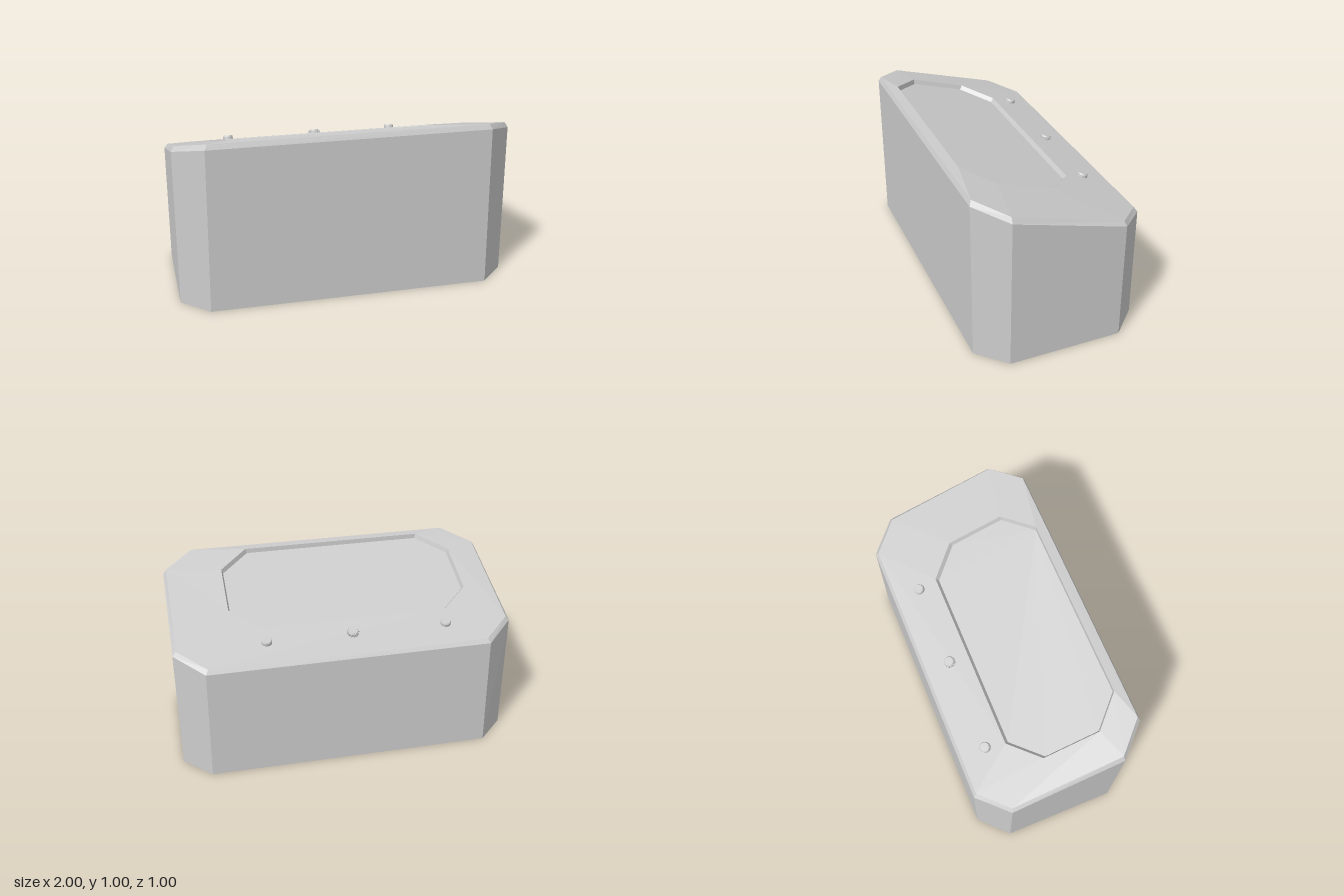
import * as THREE from 'three';

const grey = () => new THREE.MeshStandardMaterial({ color: 0xcccccc, side: THREE.DoubleSide });

// Chamfered rectangle as eight points, front edge first, height given by a rule
// b: outer bounds [x0, x1, z0, z1], c: chamfer sizes in x and z
function octagon([x0, x1, z0, z1], [cx, cz], height) {
  return [
    [x1 - cx, z1], [x1, z1 - cz], [x1, z0 + cz], [x1 - cx, z0],
    [x0 + cx, z0], [x0, z0 + cz], [x0, z1 - cz], [x0 + cx, z1],
  ].map(([x, z]) => new THREE.Vector3(x, height(z), z));
}

// Flat-faced skin through successive loops, optionally closed by a cap
function skin(name, loops, capped) {
  const pts = [];
  for (let k = 0; k < loops.length - 1; k++) {
    const a = loops[k], b = loops[k + 1];
    for (let i = 0; i < a.length; i++) {
      const j = (i + 1) % a.length;
      pts.push(a[i], a[j], b[j], a[i], b[j], b[i]);
    }
  }
  if (capped) {
    const last = loops[loops.length - 1];
    for (let i = 1; i < last.length - 1; i++) pts.push(last[0], last[i], last[i + 1]);
  }
  const geo = new THREE.BufferGeometry().setFromPoints(pts);
  geo.computeVertexNormals();
  const mesh = new THREE.Mesh(geo, grey());
  mesh.name = name;
  return mesh;
}

// Small round button with a bevelled top; an optional notched rim
function button(name, radius, height, notched) {
  const group = new THREE.Group();
  group.name = name;
  const profile = [[radius, -0.012], [radius, height * 0.7], [radius * 0.85, height], [0, height]]
    .map(([x, y]) => new THREE.Vector2(x, y));
  const geo = new THREE.LatheGeometry(profile, 16).toNonIndexed();
  geo.computeVertexNormals();
  const cap = new THREE.Mesh(geo, grey());
  cap.name = name + 'Cap';
  group.add(cap);
  if (notched) {
    for (let i = 0; i < 12; i++) {
      const a = (i / 12) * Math.PI * 2;
      const tooth = new THREE.Mesh(new THREE.BoxGeometry(0.008, height * 0.8, 0.008), grey());
      tooth.name = 'gripRidge';
      tooth.position.set(Math.cos(a) * radius, height * 0.35, Math.sin(a) * radius);
      tooth.rotation.y = -a;
      group.add(tooth);
    }
  }
  return group;
}

export function createModel() {
  const model = new THREE.Group();
  model.name = 'slopedConsole';

  // Height rules of the sloping top
  const wallTop = z => 0.8325 + 0.275 * z;
  const rimTop = z => 0.86 + 0.288 * z;
  const deck = z => 0.869 + 0.305 * z;

  // Open-bottomed body: walls, bevelled rim, then the deck up to the recess
  const base = octagon([-1, 1, -0.5, 0.5], [0.16, 0.16], () => 0);
  const wall = octagon([-1, 1, -0.5, 0.5], [0.17, 0.165], wallTop);
  const rim = octagon([-0.98, 0.98, -0.483, 0.487], [0.165, 0.155], rimTop);
  const edge = octagon([-0.8, 0.65, -0.225, 0.43], [0.17, 0.16], deck);
  model.add(skin('bodyShell', [base, wall, rim, edge], false));

  // Recessed panel, sunk at right angles to the slope
  const floor = octagon([-0.79, 0.64, -0.215, 0.42], [0.168, 0.158], deck)
    .map(p => p.add(new THREE.Vector3(0, -0.025, 0.008)));
  model.add(skin('recessedPanel', [edge, floor], true));

  // Three buttons behind the panel, tilted with the deck
  const tilt = -Math.atan(0.295);
  [[-0.6, false], [-0.04, true], [0.465, false]].forEach(([x, notched]) => {
    const b = button(notched ? 'centreKnob' : 'sideButton', 0.031, 0.026, notched);
    b.position.set(x, 0.763, -0.335);
    b.rotation.x = tilt;
    model.add(b);
  });

  return model;
}
